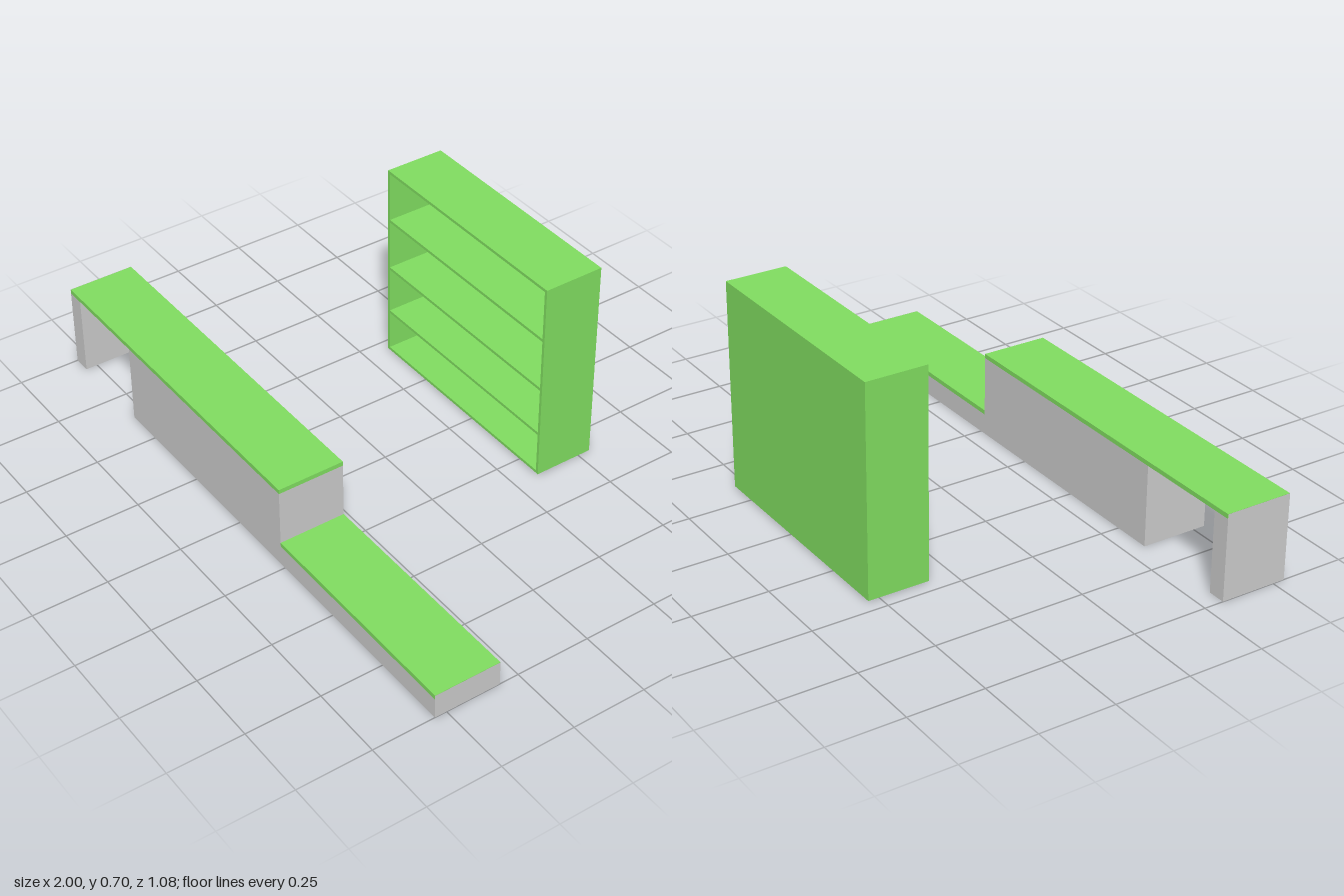
import * as THREE from 'three';

const grey = new THREE.MeshStandardMaterial({ color: 0xcccccc, side: THREE.DoubleSide, flatShading: true });
const green = new THREE.MeshStandardMaterial({ color: 0x80dd60, flatShading: true });

// Counter extents
const BACK = 0.315, FRONT = 0.54, MID = (BACK + FRONT) / 2;
const HIGH = 0.287, LOW = 0.084, SLAB = 0.015, STEP = 0.23;

// Box given by its lower and upper corners
function box(name, x0, x1, y0, y1, z0, z1) {
  const mesh = new THREE.Mesh(new THREE.BoxGeometry(x1 - x0, y1 - y0, z1 - z0), green);
  mesh.name = name;
  mesh.position.set((x0 + x1) / 2, (y0 + y1) / 2, (z0 + z1) / 2);
  return mesh;
}

// Thin wall across the counter at a given x
function endWall(name, x, y0, y1) {
  const mesh = new THREE.Mesh(new THREE.PlaneGeometry(FRONT - BACK, y1 - y0), grey);
  mesh.name = name;
  mesh.rotation.y = Math.PI / 2;
  mesh.position.set(x, (y0 + y1) / 2, MID);
  return mesh;
}

// Matching front and back walls cut to one outline
function longWalls(name, points) {
  const group = new THREE.Group();
  group.name = name;
  const shape = new THREE.Shape(points.map(([x, y]) => new THREE.Vector2(x, y)));
  for (const z of [BACK, FRONT]) {
    const wall = new THREE.Mesh(new THREE.ShapeGeometry(shape), grey);
    wall.name = z === FRONT ? 'frontWall' : 'backWall';
    wall.position.z = z;
    group.add(wall);
  }
  return group;
}

function createCounter() {
  const counter = new THREE.Group();
  counter.name = 'counter';
  const h = HIGH - SLAB, l = LOW - SLAB;

  // Worktops
  counter.add(
    box('highWorktop', -0.999, STEP, h, HIGH, BACK, FRONT),
    box('lowWorktop', STEP, 0.999, l, LOW, BACK, FRONT),
  );

  // Stepped base, open underneath
  counter.add(
    longWalls('baseWalls', [[-0.63, 0], [1, 0], [1, l], [STEP, l], [STEP, h], [-0.63, h]]),
    endWall('baseRightEnd', -0.63, 0, h),
    endWall('stepRiser', STEP, LOW, h),
    endWall('baseLeftEnd', 1, 0, LOW),
  );

  // Hollow end leg beyond the gap
  counter.add(
    longWalls('legWalls', [[-1, 0], [-0.94, 0], [-0.94, h], [-1, h]]),
    endWall('legInnerEnd', -0.94, 0, h),
    endWall('legOuterEnd', -1, 0, HIGH),
  );
  return counter;
}

function createShelfUnit() {
  const unit = new THREE.Group();
  unit.name = 'shelfUnit';
  const x0 = -0.457, x1 = 0.347, y0 = 0.005, y1 = 0.703, z0 = -0.54, z1 = -0.335, t = 0.01;

  // Carcass
  unit.add(
    box('rightSide', x0, x0 + t, y0, y1, z0, z1),
    box('leftSide', x1 - t, x1, y0, y1, z0, z1),
    box('topBoard', x0 + t, x1 - t, y1 - t, y1, z0, z1),
    box('bottomBoard', x0 + t, x1 - t, y0, y0 + t, z0, z1),
    box('backPanel', x0 + t, x1 - t, y0 + t, y1 - t, z0, z0 + 0.005),
  );

  // Inner shelves
  for (const y of [0.16, 0.332, 0.516]) {
    unit.add(box('shelf', x0 + t, x1 - t, y - t / 2, y + t / 2, z0 + 0.005, z1));
  }
  return unit;
}

export function createModel() {
  const model = new THREE.Group();
  model.name = 'counterAndShelves';
  model.add(createCounter(), createShelfUnit());
  return model;
}
